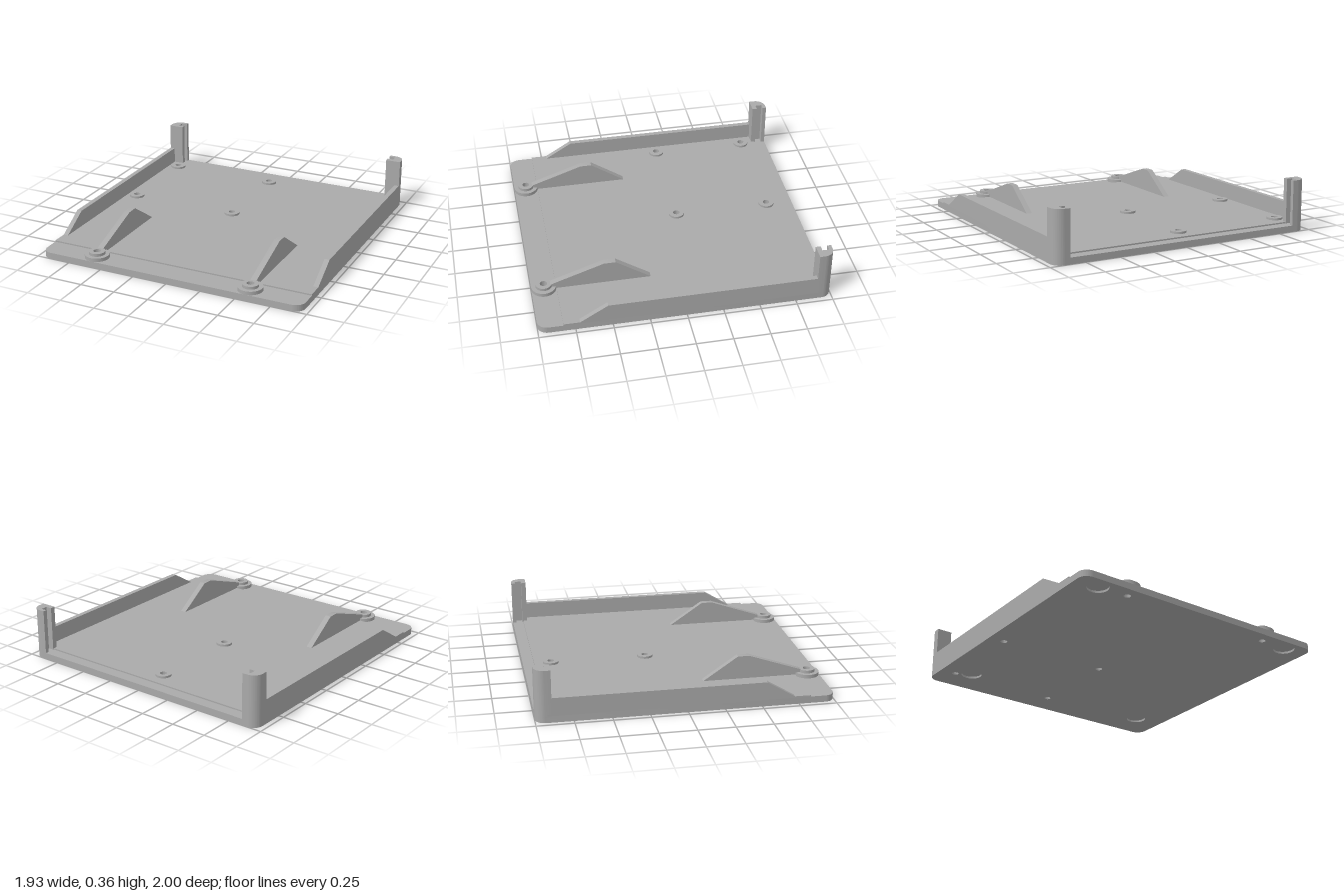
import * as THREE from 'three';
import { toCreasedNormals } from 'three/addons/utils/BufferGeometryUtils.js';

const W = 0.965, D = 1, R = 0.07;      // half width, half depth, corner radius
const LOW = 0.045, FLOOR = 0.055;      // rim height and raised floor height
const HOLE = 0.023;

const screws = [[-0.573, 0.915], [0.573, 0.915]];
const standoffs = [[-0.85, -0.805], [-0.055, -0.805], [-0.85, -0.13], [-0.055, -0.13]];
const feet = [[-0.79, 0.9], [0.79, 0.9], [-0.745, -0.755], [0.745, -0.755]];

// Plan shapes use (x, -z), so that the extrusion can be stood upright.
function circle(Type, [x, z], r) {
  const c = new Type();
  c.absarc(x, -z, r, 0, Math.PI * 2, false);
  return c;
}

function roundedRect(w, d, r) {
  const s = new THREE.Shape();
  s.absarc(w - r, d - r, r, 0, Math.PI / 2, false);
  s.absarc(-w + r, d - r, r, Math.PI / 2, Math.PI, false);
  s.absarc(-w + r, -d + r, r, Math.PI, Math.PI * 1.5, false);
  s.absarc(w - r, -d + r, r, Math.PI * 1.5, Math.PI * 2, false);
  s.closePath();
  return s;
}

function extrude(shape, depth) {
  return new THREE.ExtrudeGeometry(shape, { depth, bevelEnabled: false, curveSegments: 24 });
}

export function createModel() {
  const model = new THREE.Group();
  model.name = 'mountingTray';
  const grey = new THREE.MeshStandardMaterial({ color: 0xaaaaaa });
  grey.name = 'grey';

  function add(name, geometry) {
    const mesh = new THREE.Mesh(toCreasedNormals(geometry, 0.5), grey);
    mesh.name = name;
    model.add(mesh);
  }

  // A plan shape with round holes, filling the heights y0 to y1
  function slab(name, shape, y0, y1, holes = [], r = HOLE) {
    for (const p of holes) shape.holes.push(circle(THREE.Path, p, r));
    add(name, extrude(shape, y1 - y0).rotateX(-Math.PI / 2).translate(0, y0, 0));
  }

  // A side profile in (z, y), filling a thickness centred on x
  function rib(name, points, x, thickness) {
    const shape = new THREE.Shape(points.map(([z, y]) => new THREE.Vector2(-z, y)));
    add(name, extrude(shape, thickness).rotateY(Math.PI / 2).translate(x - thickness / 2, 0, 0));
  }

  // Base plate: lower skin with foot recesses, upper plate, raised floor
  const through = [...screws, ...standoffs];
  const skin = roundedRect(W, D, R);
  for (const f of feet) skin.holes.push(circle(THREE.Path, f, 0.072));
  slab('baseSkin', skin, 0, 0.015, through);
  slab('basePlate', roundedRect(W, D, R), 0.015, LOW, through);
  const floor = new THREE.Shape([[-W, 0.922], [-W, -0.83], [W, -0.83], [W, 0.922]]
    .map(p => new THREE.Vector2(...p)));
  slab('raisedFloor', floor, LOW, FLOOR, standoffs);

  // Stepped screw bosses at the front
  for (const p of screws) {
    slab('bossBase', circle(THREE.Shape, p, 0.085), LOW, 0.07, [p], 0.025);
    slab('bossTop', circle(THREE.Shape, p, 0.056), 0.07, 0.09, [p], 0.025);
  }

  // Board standoffs
  for (const p of standoffs) slab('standoff', circle(THREE.Shape, p, 0.055), FLOOR, 0.07, [p]);

  for (const s of [-1, 1]) {
    // Sloped side wall
    rib('sideWall', [[-0.9, LOW], [0.72, LOW], [0.72, FLOOR], [0.53, 0.17], [-0.9, 0.17]],
      s * 0.9475, 0.035);

    // Gusset behind each screw boss
    rib('gusset', [[0.18, FLOOR], [0.87, FLOOR], [0.87, 0.09], [0.5, 0.217], [0.42, 0.217]],
      s * 0.573, 0.042);

    // Rear corner post with a rounded outer corner and a slot on its inner face
    const post = new THREE.Shape();
    post.moveTo(s * 0.857, 0.893);
    post.lineTo(s * W, 0.893);
    post.lineTo(s * W, D - R);
    post.absarc(s * (W - R), D - R, R, s > 0 ? 0 : Math.PI, Math.PI / 2, s < 0);
    for (const [x, y] of [[0.857, D], [0.857, 0.973], [0.9, 0.973], [0.9, 0.927], [0.857, 0.927]]) {
      post.lineTo(s * x, y);
    }
    post.closePath();
    slab('cornerPost', post, LOW, 0.36);
  }

  return model;
}
